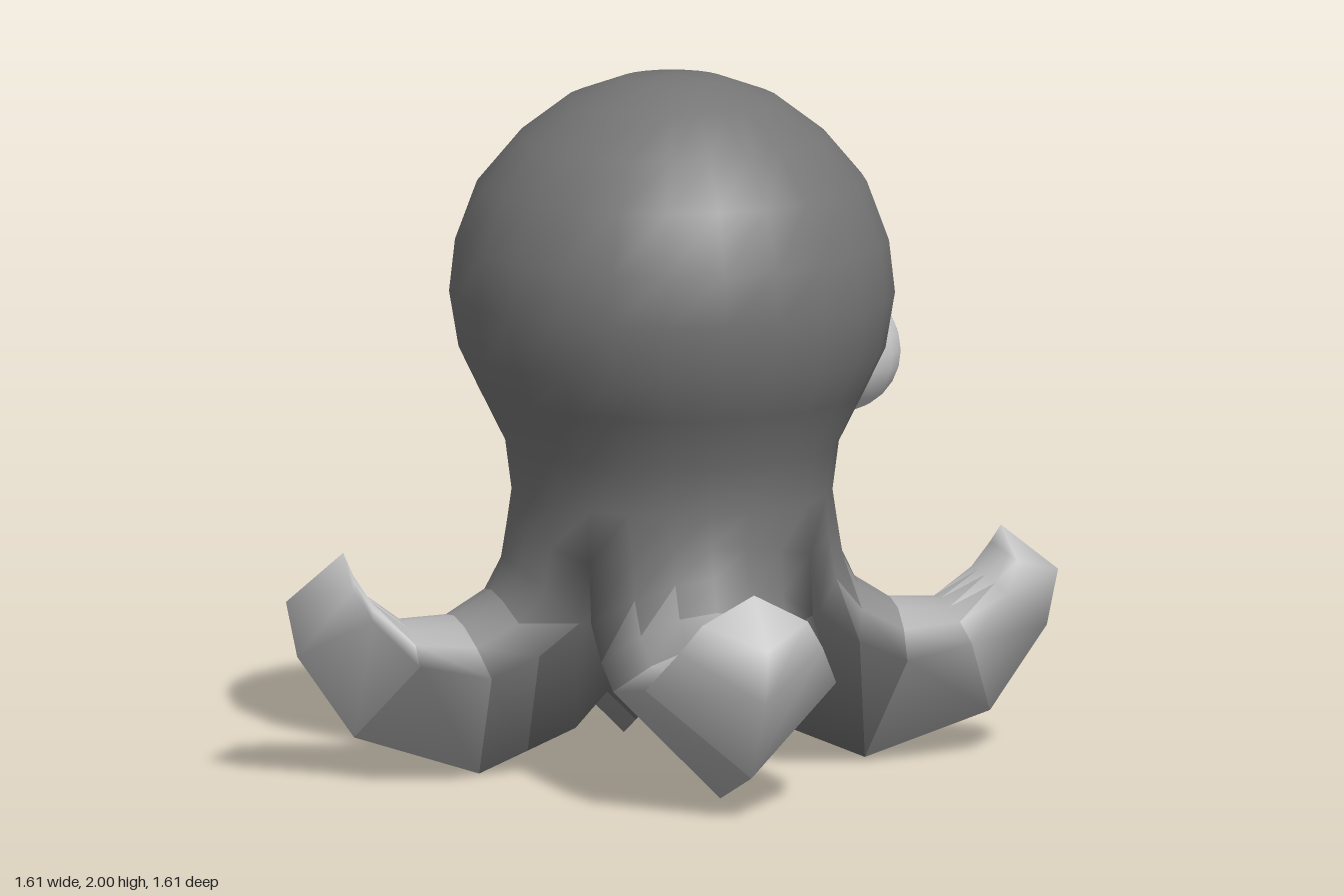
import * as THREE from 'three';
import { mergeGeometries, mergeVertices } from 'three/addons/utils/BufferGeometryUtils.js';

const COLS = 6; // divisions per quarter turn

// Head and neck profile: [radius, y]
const PROFILE = [
  [0, 2], [0.15, 1.985], [0.3, 1.93], [0.445, 1.82], [0.555, 1.69], [0.618, 1.52],
  [0.635, 1.37], [0.608, 1.21], [0.55, 1.09], [0.475, 0.94], [0.457, 0.8],
];

// Arm sections: keel [out, y], rim [out, side, y], middle of the upper face [out, y]
const ARM = [
  { keel: [0, 0.43], rim: [0.325, 0.325, 0.65], mid: [0.475, 0.71] },
  { keel: [0.283, 0.12], rim: [0.353, 0.325, 0.48], mid: [0.49, 0.62] },
  { keel: [0.424, 0.06], rim: [0.47, 0.325, 0.39], mid: [0.53, 0.53] },
  { keel: [0.566, 0], rim: [0.61, 0.325, 0.33], mid: [0.64, 0.46] },
  { keel: [0.933, 0.12], rim: [0.81, 0.28, 0.365], mid: [0.79, 0.45] },
  { keel: [1.1, 0.36], rim: [0.93, 0.21, 0.49], mid: [0.9, 0.53] },
  { keel: [1.133, 0.52], rim: [0.976, 0.155, 0.575], mid: [0.945, 0.6] },
  { keel: [0.965, 0.655], rim: [0.965, 0, 0.655], mid: [0.965, 0.655] },
];

// Tones from the dark body out to the pale arm tips, by distance from the axis
const TONES = [
  { name: 'headAndBody', reach: 0.52, color: 0x757575 },
  { name: 'armRoots', reach: 0.66, color: 0x909090 },
  { name: 'armMiddles', reach: 0.85, color: 0xb4b4b4 },
  { name: 'armTips', reach: 2, color: 0xcccccc },
];
const SHOULDER = 0.75; // everything above this height is body

// Skin a grid of points given as rows of [x, y, z]
function skin(rows) {
  const n = rows[0].length;
  const index = [];
  for (let i = 0; i < rows.length - 1; i++) {
    for (let j = 0; j < n - 1; j++) {
      const a = i * n + j, b = a + 1, c = a + n, d = c + 1;
      index.push(a, b, d, a, d, c);
    }
  }
  const geo = new THREE.BufferGeometry();
  geo.setAttribute('position', new THREE.Float32BufferAttribute(rows.flat(2), 3));
  geo.setIndex(index);
  return geo;
}

// One quarter of the head, flowing into the upper face of an arm
function upperQuarter() {
  const across = Array.from({ length: COLS + 1 }, (_, j) => (j / COLS) * 2 - 1);
  const head = PROFILE.map(([r, y]) => across.map((u) => {
    const a = u * Math.PI / 4;
    return [r * Math.cos(a), y, r * Math.sin(a)];
  }));
  const arm = ARM.map(({ rim, mid }) => across.map((u) => [
    THREE.MathUtils.lerp(mid[0], rim[0], u * u),
    THREE.MathUtils.lerp(mid[1], rim[2], u * u),
    rim[1] * u,
  ]));
  return skin([...head, ...arm]);
}

// Flank of an arm from rim to keel, on side +1 or -1
function flank(side) {
  return skin(ARM.map(({ keel, rim }) => {
    const pair = [[rim[0], rim[2], rim[1] * side], [keel[0], keel[1], 0]];
    return side > 0 ? pair : pair.reverse();
  }));
}

// Whole smooth skin: four quarters welded together
function octopusSkin() {
  const quarter = mergeGeometries([upperQuarter(), flank(1), flank(-1)]);
  const quarters = [0, 1, 2, 3].map((k) => quarter.clone().rotateY(Math.PI / 4 + k * Math.PI / 2));
  const geo = mergeVertices(mergeGeometries(quarters), 1e-4);
  geo.computeVertexNormals();
  return geo;
}

// Sort the triangles of the skin into one index list per tone
function splitByTone(geo) {
  const lists = TONES.map(() => []);
  const { position } = geo.attributes;
  const corner = new THREE.Vector3();
  for (let t = 0; t < geo.index.count; t += 3) {
    const ids = [0, 1, 2].map((k) => geo.index.getX(t + k));
    const centre = new THREE.Vector3();
    for (const id of ids) centre.addScaledVector(corner.fromBufferAttribute(position, id), 1 / 3);
    const out = centre.y > SHOULDER ? 0 : Math.hypot(centre.x, centre.z);
    lists[TONES.findIndex(({ reach }) => out < reach)].push(...ids);
  }
  return lists;
}

export function createModel() {
  const model = new THREE.Group();
  const add = (name, geo, color) => {
    const mesh = new THREE.Mesh(geo, new THREE.MeshStandardMaterial({ color }));
    mesh.name = name;
    model.add(mesh);
    return mesh;
  };

  // Head, body and arms share one set of smooth normals
  const whole = octopusSkin();
  splitByTone(whole).forEach((list, i) => {
    const geo = whole.clone();
    geo.setIndex(list);
    add(TONES[i].name, geo, TONES[i].color);
  });

  // Eyes
  for (const side of [1, -1]) {
    const eye = add(side > 0 ? 'leftEye' : 'rightEye', new THREE.SphereGeometry(0.18, 16, 12), 0xcccccc);
    eye.position.set(0.232 * side, 1.145, -0.533);
  }
  return model;
}
